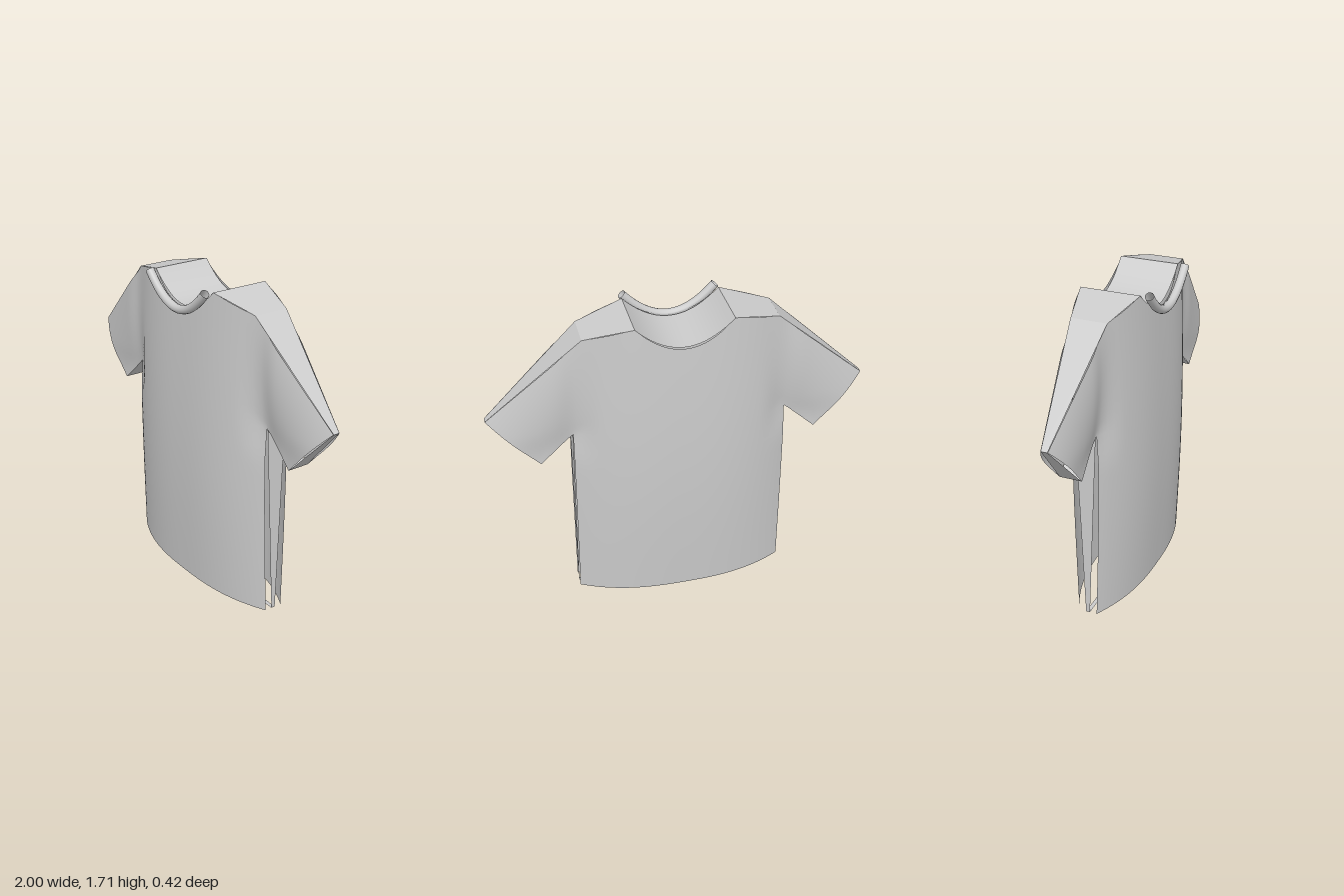
import * as THREE from 'three';
import { mergeGeometries, mergeVertices } from 'three/addons/utils/BufferGeometryUtils.js';

const MID = -0.012; // z of the mid plane between front and back
const TIP = [1, 1.18], UNDER = [0.74, 0.9], PIT = [0.565, 1.06];
const { lerp, clamp, smoothstep } = THREE.MathUtils;
const neckY = (x) => 1.56 + 0.13 * (x / 0.25) ** 2;

// Upper and lower outline heights at a given x
function topY(x) {
  const a = Math.abs(x);
  if (a < 0.25) return neckY(a);
  if (a < 0.5) return lerp(1.69, 1.63, (a - 0.25) / 0.25);
  return lerp(1.63, 1.18, (a - 0.5) / 0.5);
}
function lowY(x) {
  const a = Math.abs(x);
  if (a < PIT[0]) return PIT[1];
  if (a < UNDER[0]) return lerp(PIT[1], UNDER[1], (a - PIT[0]) / (UNDER[0] - PIT[0]));
  return lerp(UNDER[1], TIP[1], (a - UNDER[0]) / (TIP[0] - UNDER[0]));
}

// Half depth of the shirt: a bulging torso blended into lens-shaped sleeves
function depth(x, y) {
  const a = Math.abs(x);
  const wave = Math.sin(Math.PI * clamp(y / 1.69, 0, 1));
  const peak = 0.168 + 0.03 * wave, edge = 0.05 + 0.012 * wave;
  const torso = edge + (peak - edge) * (1 - Math.min(a / 0.58, 1) ** 2.6);
  const dx = a - TIP[0], dy = y - TIP[1];
  const s = clamp(-(dx * 0.743 - dy * 0.669) / 0.673, 0, 1);
  const t = clamp(-(dx * 0.669 + dy * 0.743) / 0.382, 0, 1);
  const sleeve = lerp(0.018 + 0.085 * s, 0.05 + 0.01 * s, t) + 0.032 * 4 * t * (1 - t);
  return lerp(torso, sleeve, smoothstep(a, 0.42, 0.66) * smoothstep(y, 0.85, 1.1));
}

// Grid surface from a point function; flip reverses the facing
function grid(nu, nv, fn, flip = false) {
  const pos = [], idx = [];
  for (let i = 0; i <= nu; i++) for (let j = 0; j <= nv; j++) pos.push(...fn(i, j));
  for (let i = 0; i < nu; i++) for (let j = 0; j < nv; j++) {
    const a = i * (nv + 1) + j, b = a + nv + 1;
    if (flip) idx.push(a, a + 1, b, b, a + 1, b + 1);
    else idx.push(a, b, a + 1, b, b + 1, a + 1);
  }
  const g = new THREE.BufferGeometry();
  g.setAttribute('position', new THREE.Float32BufferAttribute(pos, 3));
  g.setIndex(idx);
  return g;
}

// Columns that hit every corner of the outline
function columns() {
  const half = [];
  const keys = [0, 0.25, 0.5, 0.565, 0.74, 1], steps = [10, 8, 3, 6, 10];
  steps.forEach((n, k) => {
    for (let i = 0; i < n; i++) half.push(lerp(keys[k], keys[k + 1], i / n));
  });
  half.push(1);
  return [...half.slice(1).reverse().map((x) => -x), ...half];
}

// One cloth panel: side = 1 for the front, -1 for the back
function panel(side) {
  const xs = columns(), body = xs.filter((x) => Math.abs(x) < 0.5651);
  const put = (x, y) => [x, y, MID + side * depth(x, y)];
  const upper = grid(xs.length - 1, 16, (i, j) =>
    put(xs[i], lerp(lowY(xs[i]), topY(xs[i]), j / 16)), side < 0);
  const lower = grid(body.length - 1, 20, (i, j) => {
    const v = j / 20;
    return put(body[i] * lerp(0.58 / 0.565, 1, v), v * PIT[1]);
  }, side < 0);
  const g = mergeVertices(mergeGeometries([upper, lower]), 1e-5);
  g.computeVertexNormals();
  return g;
}

export function createModel() {
  const shirt = new THREE.Group();
  shirt.name = 'shirt';
  const cloth = new THREE.MeshStandardMaterial({ color: 0xcccccc, side: THREE.DoubleSide });
  const add = (name, geometry) => {
    const mesh = new THREE.Mesh(geometry, cloth);
    mesh.name = name;
    shirt.add(mesh);
  };

  add('frontPanel', panel(1));
  add('backPanel', panel(-1));

  // Flat gusset strips between the panels: [x, y, half depth]
  const seam = [
    [0.25, 1.69, 0.16], [0.5, 1.63, 0.095], [1, 1.18, 0.017],
    [0.74, 0.9, 0.058], [0.565, 1.06, 0.055], [0.58, 0, 0.011],
  ];
  const names = ['Shoulder', 'SleeveTop', 'SleeveEnd', 'SleeveUnderside', 'Side'];
  for (const m of [1, -1]) {
    names.forEach((n, k) => {
      const g = grid(1, 1, (i, j) => {
        const [x, y, h] = seam[k + i];
        return [m * x, y, MID + (j ? h : -h)];
      }, m < 0);
      g.computeVertexNormals();
      add((m > 0 ? 'left' : 'right') + n, g);
    });
  }
  const hem = grid(1, 1, (i, j) => [i ? 0.58 : -0.58, 0, MID + (j ? 0.011 : -0.011)]);
  hem.computeVertexNormals();
  add('hemStrip', hem);

  // Curved neck opening joining front and back
  const neck = grid(20, 1, (i, j) => {
    const x = lerp(-0.25, 0.25, i / 20);
    return [x, neckY(x), MID + (j ? 0.16 : -0.16)];
  }, true);
  neck.computeVertexNormals();
  add('neckStrip', neck);

  // Rounded collar cord in front of the neckline
  const path = new THREE.QuadraticBezierCurve3(
    new THREE.Vector3(-0.243, 1.69, 0.19),
    new THREE.Vector3(0, 1.41, 0.19),
    new THREE.Vector3(0.243, 1.69, 0.19));
  add('collar', new THREE.TubeGeometry(path, 32, 0.023, 12));

  return shirt;
}
